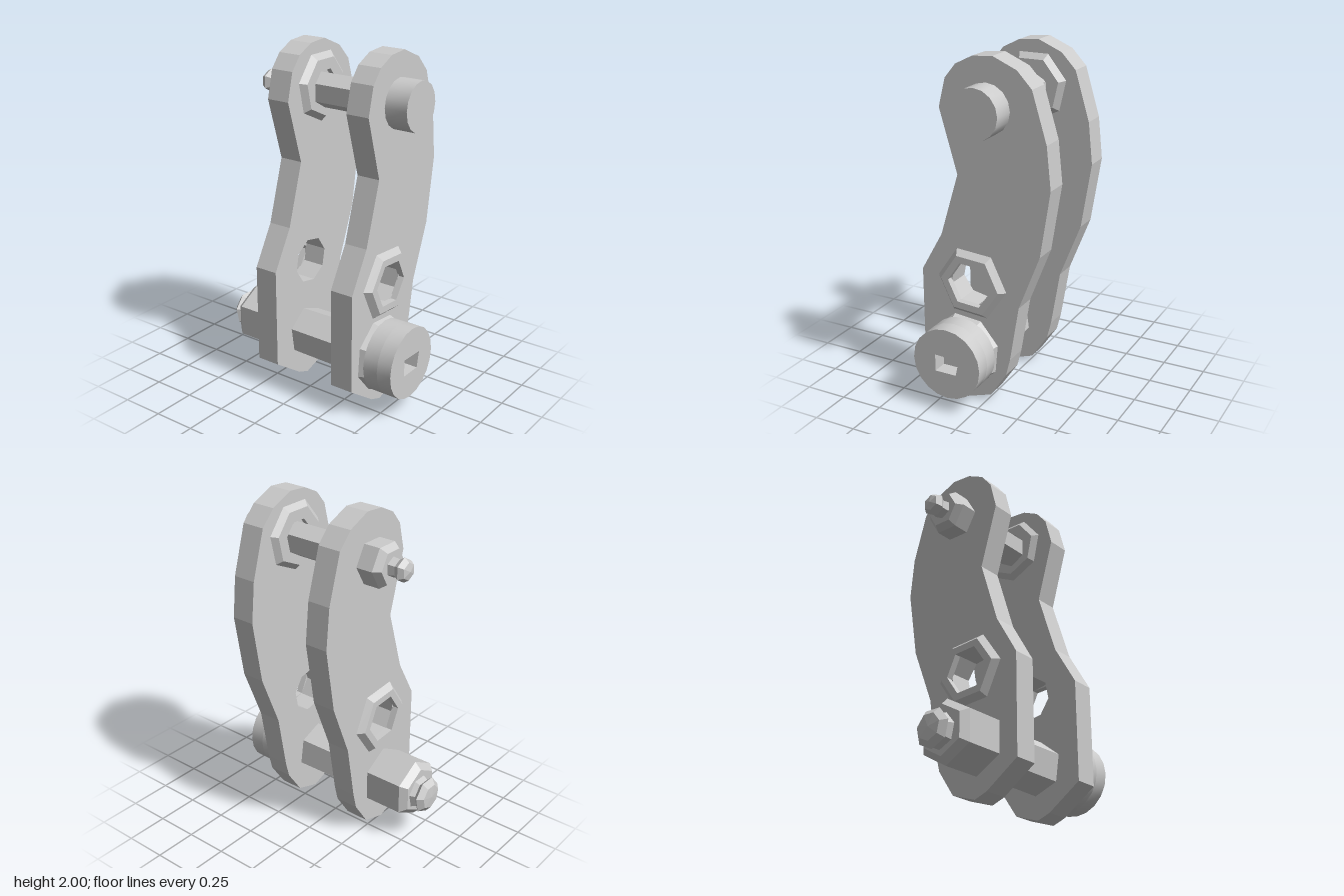
import * as THREE from 'three';
import { toCreasedNormals } from 'three/addons/utils/BufferGeometryUtils.js';

const flat = new THREE.MeshStandardMaterial({ color: 0xcccccc, flatShading: true });
const smooth = new THREE.MeshStandardMaterial({ color: 0xcccccc });

const TOP = [0.02, 1.72], MID = [-0.08, 0.72], LOW = [-0.13, 0.305];

function polygon(x, y, r, n, start = 0) {
  return Array.from({ length: n }, (_, i) => {
    const a = start + (i / n) * Math.PI * 2;
    return new THREE.Vector2(x + r * Math.cos(a), y + r * Math.sin(a));
  });
}

function slab(points, hole, z0, z1) {
  const shape = new THREE.Shape(points);
  if (hole) shape.holes.push(new THREE.Path(hole));
  const geo = new THREE.ExtrudeGeometry(shape, { depth: z1 - z0, bevelEnabled: false });
  return geo.translate(0, 0, z0);
}

// Faceted solid of revolution about the z direction; profile holds [radius, z] with z rising
function turned([x, y], profile, sides, start = 0) {
  const pts = profile.map(([r, z]) => new THREE.Vector2(r, z));
  const geo = new THREE.LatheGeometry(pts, sides, start);
  return geo.rotateX(Math.PI / 2).translate(x, y, 0);
}

function rod(center, z0, z1, r0, r1, sides, start) {
  return turned(center, [[0, z0], [r0, z0], [r1, z1], [0, z1]], sides, start);
}

function ring(center, z0, z1, ri, r0, r1, sides, start) {
  return turned(center, [[ri, z0], [r0, z0], [r1, z1], [ri, z1], [ri, z0]], sides, start);
}

export function createModel() {
  const model = new THREE.Group();
  model.name = 'boltedLink';
  const add = (name, geo, mat = flat) => {
    const mesh = new THREE.Mesh(geo, mat);
    mesh.name = name;
    model.add(mesh);
  };

  // Two matching curved side plates with an open middle hole
  const outline = [
    [-0.12, 0], [0.03, 0.05], [0.13, 0.2], [0.155, 0.3], [0.21, 0.63], [0.335, 0.95],
    [0.395, 1.33], [0.37, 1.57], [0.285, 1.85], [0.2, 1.94], [0.06, 2], [-0.06, 1.99],
    [-0.16, 1.94], [-0.225, 1.86], [-0.265, 1.7], [-0.16, 1.34], [-0.27, 0.98],
    [-0.4, 0.75], [-0.4, 0.17], [-0.2, 0.03],
  ].map(([x, y]) => new THREE.Vector2(x, y));
  const hole = polygon(...MID, 0.135, 8, 0.2);
  add('frontPlate', slab(outline, hole, 0.265, 0.405));
  add('backPlate', slab(outline, hole, -0.26, -0.12));

  // Collars around the open hole on the outer faces
  add('frontCollar', ring(MID, 0.4, 0.44, 0.135, 0.22, 0.18, 6, 0.45));
  add('backCollar', ring(MID, -0.295, -0.255, 0.135, 0.18, 0.22, 6, 0.45));

  // Upper bolt: head, shaft, inner washers, nut and threaded tip
  add('upperBoltHead', toCreasedNormals(rod(TOP, 0.405, 0.54, 0.14, 0.14, 16), 0.6), smooth);
  add('upperShaft', rod(TOP, -0.26, 0.405, 0.1, 0.1, 6));
  add('upperFrontWasher', ring([0.03, 1.74], 0.235, 0.27, 0.1, 0.17, 0.21, 7));
  add('upperBackWasher', ring([0.03, 1.74], -0.125, -0.088, 0.1, 0.21, 0.17, 7));
  add('upperNut', turned(TOP, [[0, -0.4], [0.1, -0.4], [0.13, -0.36], [0.13, -0.26], [0, -0.26]], 6, Math.PI / 6));
  add('upperThread', turned(TOP, [[0, -0.51], [0.05, -0.5], [0.07, -0.47], [0.05, -0.44], [0.06, -0.39]], 6));

  // Lower bolt: socketed head, washer, shaft, nut and threaded tip
  const socket = [[-0.2, 0.25], [-0.07, 0.25], [-0.05, 0.345], [-0.2, 0.35]]
    .map(([x, y]) => new THREE.Vector2(x, y));
  add('lowerHeadBase', toCreasedNormals(rod(LOW, 0.44, 0.53, 0.21, 0.21, 20), 0.6), smooth);
  add('lowerHeadRim', toCreasedNormals(slab(polygon(...LOW, 0.21, 20, Math.PI / 2), socket, 0.53, 0.618), 0.6), smooth);
  add('lowerHeadWasher', ring(LOW, 0.4, 0.445, 0.1, 0.22, 0.205, 8, 0.3));
  add('lowerShaft', rod([-0.13, 0.29], -0.26, 0.405, 0.145, 0.155, 6, 0.15));
  add('lowerNut', turned([-0.13, 0.3], [[0, -0.53], [0.14, -0.53], [0.18, -0.49], [0.18, -0.26], [0, -0.26]], 6));
  add('lowerThread', turned([-0.12, 0.295], [[0, -0.62], [0.075, -0.615], [0.11, -0.585], [0.085, -0.56], [0.105, -0.52]], 7));

  return model;
}
